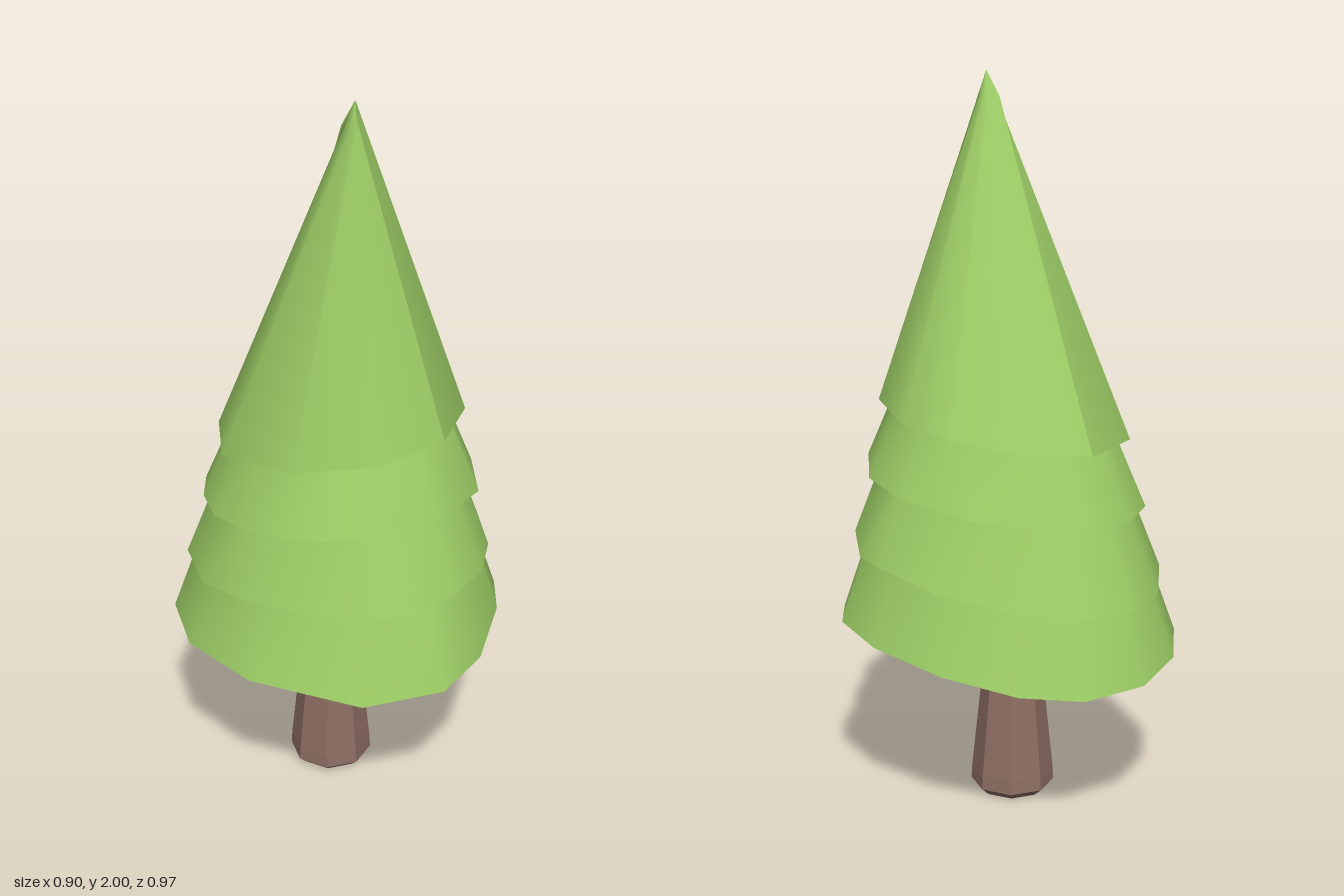
import * as THREE from 'three';

const leaf = new THREE.MeshStandardMaterial({ color: 0x9ccc65 });
leaf.name = 'leafGreen';
const bark = new THREE.MeshStandardMaterial({ color: 0x8d6e63 });
bark.name = 'barkBrown';

// Outline given as x, z pairs; y follows from a rule, so each hem tilts and sags.
function ring(outline, height) {
  const points = [];
  for (let i = 0; i < outline.length; i += 2) {
    const x = outline[i], z = outline[i + 1];
    points.push(new THREE.Vector3(x, height(x, z), z));
  }
  return points;
}

// Smooth skin between equally long rows of points, listed from bottom to top.
function skin(rows) {
  const n = rows[0].length, index = [];
  for (let r = 0; r < rows.length - 1; r++) {
    for (let i = 0; i < n - 1; i++) {
      const a = r * n + i, b = a + 1, c = a + n, d = c + 1;
      index.push(a, c, b, b, c, d);
    }
  }
  const geometry = new THREE.BufferGeometry().setFromPoints(rows.flat());
  geometry.setIndex(index);
  geometry.computeVertexNormals();
  // A closed skin shares its normals across the seam.
  const normal = geometry.attributes.normal;
  rows.forEach((row, r) => {
    if (row[0] !== row[n - 1]) return;
    const a = r * n, b = a + n - 1;
    const sum = new THREE.Vector3().fromBufferAttribute(normal, a)
      .add(new THREE.Vector3().fromBufferAttribute(normal, b)).normalize();
    normal.setXYZ(a, sum.x, sum.y, sum.z);
    normal.setXYZ(b, sum.x, sum.y, sum.z);
  });
  return geometry;
}

// Underside fan from the hem to a centre point.
function underside(hem, centreY) {
  const index = [], n = hem.length;
  for (let i = 0; i < n; i++) index.push(n, i, (i + 1) % n);
  const geometry = new THREE.BufferGeometry()
    .setFromPoints([...hem, new THREE.Vector3(0, centreY, 0)]);
  geometry.setIndex(index);
  geometry.computeVertexNormals();
  return geometry;
}

function add(parent, name, geometry, material) {
  const mesh = new THREE.Mesh(geometry, material);
  mesh.name = name;
  parent.add(mesh);
  return mesh;
}

// Lower skirts of foliage, from the bottom up
const skirts = [
  {
    name: 'bottomSkirt', centreY: 0.475, scale: 0.81,
    height: (x, z) => 0.515 + 0.04 * x + 0.055 * z - 0.2 * z * z,
    outline: [-0.04, -0.485, 0.125, -0.44, 0.29, -0.315, 0.415, -0.13, 0.45, 0.055,
      0.405, 0.19, 0.28, 0.385, 0.14, 0.485, -0.085, 0.48, -0.34, 0.285,
      -0.45, 0.06, -0.44, -0.18, -0.365, -0.33, -0.225, -0.445],
  },
  {
    name: 'lowerSkirt', centreY: 0.7, scale: 0.77,
    height: (x, z) => 0.71 + 0.07 * x + 0.085 * z - 0.1 * z * z,
    outline: [-0.05, -0.455, 0.105, -0.41, 0.29, -0.27, 0.385, -0.1, 0.415, -0.015,
      0.37, 0.19, 0.3, 0.32, 0.185, 0.41, 0.025, 0.455, -0.17, 0.37,
      -0.33, 0.2, -0.405, 0.06, -0.4, -0.16, -0.315, -0.33, -0.205, -0.415],
  },
  {
    name: 'upperSkirt', centreY: 0.9, scale: 0.72,
    height: (x, z) => 0.905 + 0.08 * x + 0.09 * z,
    outline: [-0.065, -0.4, 0.195, -0.31, 0.335, -0.13, 0.37, 0.04, 0.31, 0.25,
      0.15, 0.365, -0.045, 0.385, -0.2, 0.32, -0.31, 0.18, -0.365, 0.04,
      -0.36, -0.1, -0.325, -0.22, -0.23, -0.33],
  },
];

export function createModel() {
  const tree = new THREE.Group();
  tree.name = 'tree';

  // Tapered eight-sided trunk with a bevelled foot
  const profile = [[0, 0], [0.092, 0], [0.117, 0.022], [0.115, 0.06], [0.077, 0.42], [0.075, 0.56]]
    .map(([r, y]) => new THREE.Vector2(r, y));
  const trunkGeometry = new THREE.LatheGeometry(profile, 8, Math.PI / 8).toNonIndexed();
  trunkGeometry.computeVertexNormals();
  add(tree, 'trunk', trunkGeometry, bark).position.set(-0.025, 0, -0.005);

  for (const { name, outline, height, centreY, scale } of skirts) {
    const group = new THREE.Group();
    group.name = name;
    const hem = ring(outline, height);
    const top = hem.map((p) => new THREE.Vector3(p.x * scale, p.y + 0.25, p.z * scale));
    add(group, 'skirtSide', skin([[...hem, hem[0]], [...top, top[0]]]), leaf);
    add(group, 'skirtUnderside', underside(hem, centreY), leaf);
    tree.add(group);
  }

  // Leaning crown, smooth on both halves with a sharp fold between them
  const crown = new THREE.Group();
  crown.name = 'crown';
  const hem = ring([-0.12, -0.33, 0.08, -0.32, 0.23, -0.23, 0.315, -0.09, 0.317, 0.115,
    0.19, 0.3, -0.01, 0.365, -0.21, 0.285, -0.34, 0.055, -0.29, -0.19],
  (x, z) => 1.09 + 0.1 * x + 0.11 * z);
  const apex = new THREE.Vector3(0, 2, 0.13);
  const tip = hem.map((p) => apex.clone().lerp(p, 0.08));
  tip[0].set(-0.025, 1.93, 0.095);
  tip[5].set(0, 1.935, 0.165);
  for (const [name, start] of [['crownLeftHalf', 0], ['crownRightHalf', 5]]) {
    const half = (row) => Array.from({ length: 6 }, (_, i) => row[(start + i) % 10]);
    add(crown, name, skin([half(hem), half(tip), Array(6).fill(apex)]), leaf);
  }
  add(crown, 'crownUnderside', underside(hem, 1.09), leaf);
  tree.add(crown);

  return tree;
}
